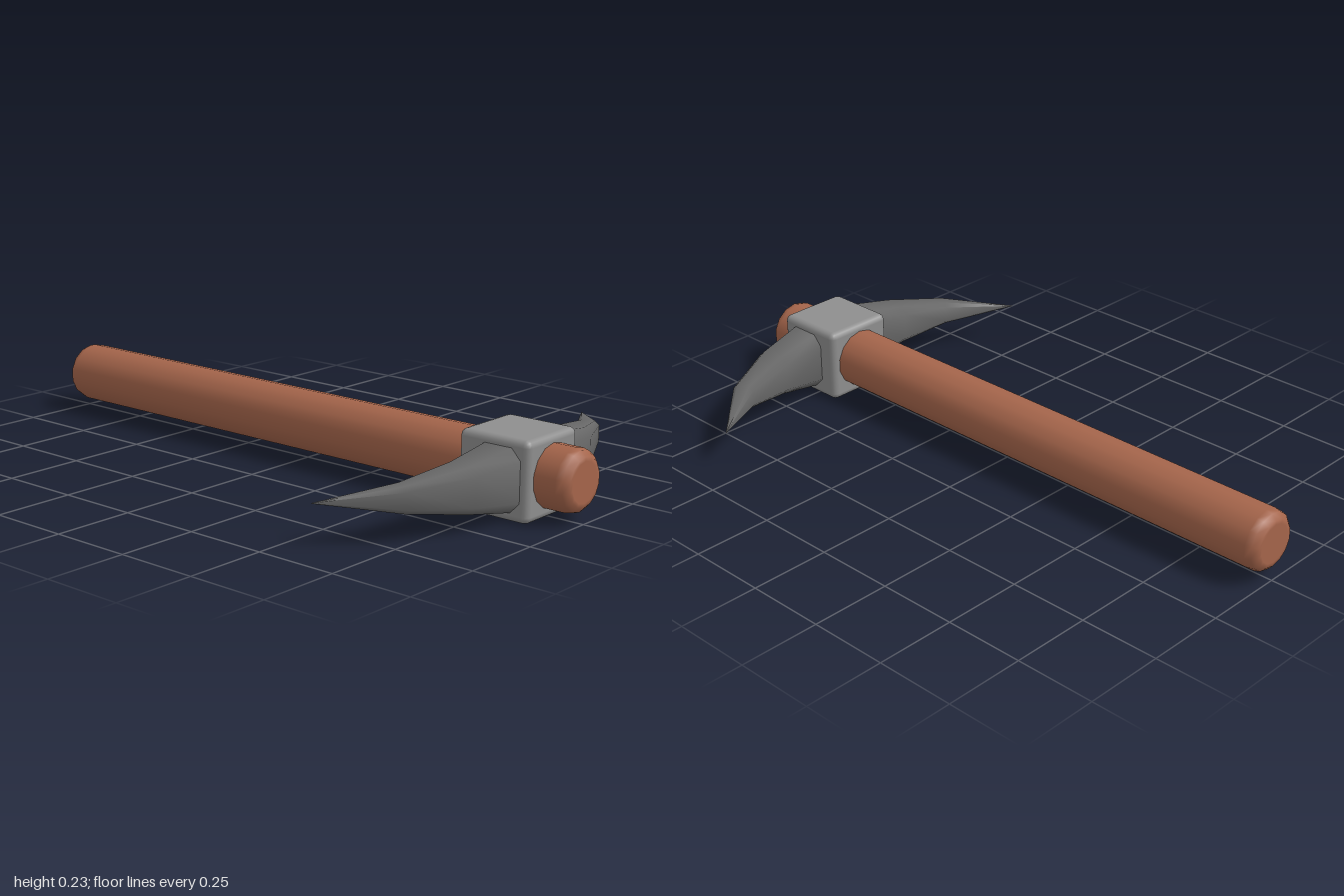
import * as THREE from 'three';
import { RoundedBoxGeometry } from 'three/addons/geometries/RoundedBoxGeometry.js';

const AXIS_Y = 0.121;

// Curved spike along +x, lofted from chamfered rectangles
function spikeGeometry() {
  // inner x, inner z, outer x, outer z, half height
  const sections = [
    [0.08, 0.72, 0.08, 0.877, 0.098],
    [0.26, 0.72, 0.275, 0.838, 0.066],
    [0.425, 0.69, 0.455, 0.75, 0.038],
    [0.63, 0.573, 0.63, 0.574, 0.001],
  ];
  // Outline as (across, up), running from top to outer edge to bottom to inner edge
  const outline = [[-0.6, 1], [0.6, 1], [1, 0.65], [1, -0.65], [0.6, -1], [-0.6, -1], [-1, -0.65], [-1, 0.65]];
  const n = outline.length;
  const positions = [];
  const index = [];
  sections.forEach(([ix, iz, ox, oz, h], s) => {
    outline.forEach(([u, v], k) => {
      const t = (u + 1) / 2;
      positions.push(ix + (ox - ix) * t, v * h, iz + (oz - iz) * t);
      if (s === sections.length - 1) return;
      const a = s * n + k;
      const b = s * n + (k + 1) % n;
      index.push(a, b, a + n, b, b + n, a + n);
    });
  });
  const geometry = new THREE.BufferGeometry();
  geometry.setAttribute('position', new THREE.Float32BufferAttribute(positions, 3));
  geometry.setIndex(index);
  geometry.computeVertexNormals();
  return geometry;
}

export function createModel() {
  const wood = new THREE.MeshStandardMaterial({ name: 'wood', color: 0xa5654b });
  const lightSteel = new THREE.MeshStandardMaterial({ name: 'lightSteel', color: 0x8e8e8e });
  const darkSteel = new THREE.MeshStandardMaterial({ name: 'darkSteel', color: 0x686868 });
  const group = new THREE.Group();
  group.name = 'pickaxe';

  // Handle with bevelled ends
  const half = [[0.093, 0.965], [0.088, 0.985], [0.072, 1], [0.06, 1], [0, 1]];
  const profile = [
    ...half.map(([r, y]) => new THREE.Vector2(r, -y)).reverse(),
    ...half.map(([r, y]) => new THREE.Vector2(r, y)),
  ];
  const handle = new THREE.Mesh(new THREE.LatheGeometry(profile, 14), wood);
  handle.name = 'handle';
  handle.rotation.x = Math.PI / 2;
  handle.position.y = AXIS_Y;
  group.add(handle);

  // Block that joins the head to the handle
  const block = new THREE.Mesh(new RoundedBoxGeometry(0.235, 0.235, 0.235, 2, 0.02), lightSteel);
  block.name = 'headBlock';
  block.position.set(0, 0.1195, 0.778);
  group.add(block);

  // Mirrored pair of spikes
  const geometry = spikeGeometry();
  for (const side of [1, -1]) {
    const spike = new THREE.Mesh(geometry, darkSteel);
    spike.name = side > 0 ? 'leftSpike' : 'rightSpike';
    spike.scale.x = side;
    spike.position.y = AXIS_Y;
    group.add(spike);
  }
  return group;
}
